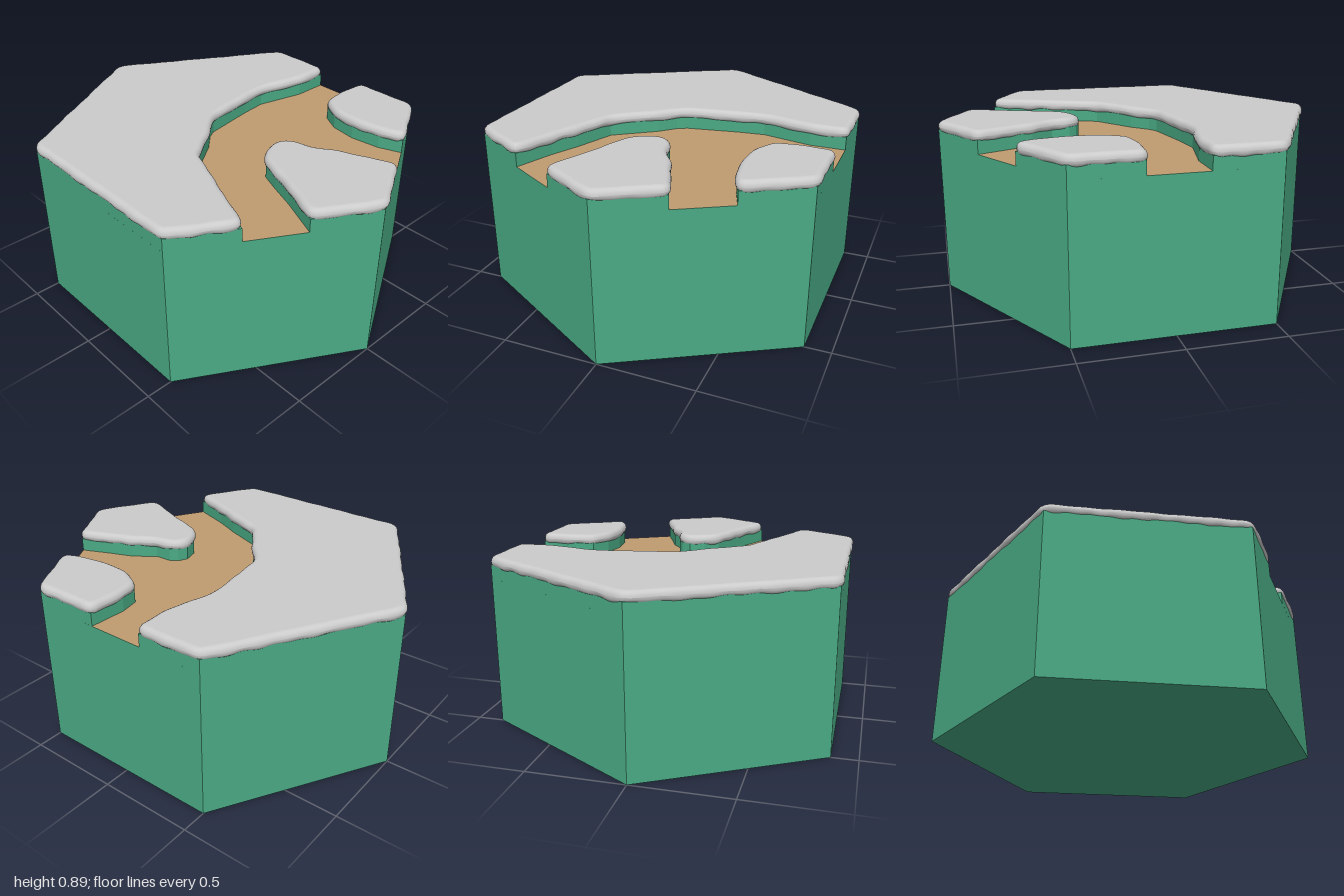
import * as THREE from 'three';
import { mergeVertices } from 'three/addons/utils/BufferGeometryUtils.js';

const PATH_Y = 0.78, BANK_Y = 0.85, SNOW_Y = 0.835, SNOW_H = 0.06;

// Ground outlines as [x, z]: tile corners plus the edge along the path
const BANKS = {
  back: [[0, -1], [0.866, -0.5], [0.866, -0.15], [0.68, -0.15], [0.42, -0.21], [0.28, -0.195],
    [0, -0.148], [-0.05, -0.12], [-0.13, -0.04], [-0.34, 0.11], [-0.42, 0.32], [-0.49, 0.47],
    [-0.565, 0.674], [-0.866, 0.5], [-0.866, -0.5]],
  right: [[0.866, 0.5], [0.866, 0.15], [0.67, 0.14], [0.57, 0.16], [0.515, 0.26], [0.495, 0.4],
    [0.515, 0.56], [0.56, 0.677]],
  front: [[0, 1], [0.3, 0.827], [0.235, 0.67], [0.19, 0.55], [0.11, 0.44], [0.106, 0.35],
    [0.08, 0.31], [0.03, 0.288], [-0.05, 0.31], [-0.12, 0.37], [-0.16, 0.47], [-0.21, 0.61],
    [-0.302, 0.826]],
};

const toPoints = (list) => {
  const pts = list.map(([x, z]) => new THREE.Vector2(x, -z));
  return THREE.ShapeUtils.area(pts) < 0 ? pts.reverse() : pts;
};

// Resample, round and slightly swell an outline so that it looks like settled snow
function snowOutline(list) {
  const corners = toPoints(list);
  let pts = [];
  corners.forEach((a, i) => {
    const b = corners[(i + 1) % corners.length];
    const n = Math.max(1, Math.round(a.distanceTo(b) / 0.022));
    for (let k = 0; k < n; k++) pts.push(a.clone().lerp(b, k / n));
  });
  const at = (arr, i) => arr[(i + arr.length) % arr.length];
  for (let pass = 0; pass < 3; pass++) {
    pts = pts.map((p, i) => at(pts, i - 1).clone().add(at(pts, i + 1)).multiplyScalar(0.25).addScaledVector(p, 0.5));
  }
  return pts.map((p, i) => {
    const t = at(pts, i + 1).clone().sub(at(pts, i - 1)).normalize();
    const swell = 0.009 + 0.0015 * Math.sin(i * 0.9) + 0.0015 * Math.sin(i * 0.37 + 1);
    return new THREE.Vector2(p.x + t.y * swell, p.y - t.x * swell);
  });
}

function extrudeUp(points, options, y) {
  const g = new THREE.ExtrudeGeometry(new THREE.Shape(points), options);
  g.rotateX(-Math.PI / 2);
  g.translate(0, y, 0);
  return g;
}

function snowGeometry(list) {
  const r = SNOW_H / 2;
  let g = extrudeUp(snowOutline(list), {
    depth: 0.002, bevelEnabled: true, bevelThickness: r - 0.001, bevelSize: r - 0.002,
    bevelOffset: -(r - 0.002), bevelSegments: 5,
  }, SNOW_Y + r - 0.001);
  g.deleteAttribute('uv');
  g.deleteAttribute('normal');
  g = mergeVertices(g, 1e-4);
  // Uneven underside, softly dripping rim
  const p = g.attributes.position;
  for (let i = 0; i < p.count; i++) {
    const x = p.getX(i), z = p.getZ(i), y = p.getY(i);
    if (y < SNOW_Y + r) p.setY(i, y + 0.004 * Math.sin(x * 31 + z * 23) * Math.sin(z * 37 - x * 11));
  }
  g.computeVertexNormals();
  return g;
}

export function createModel() {
  const model = new THREE.Group();
  const green = new THREE.MeshStandardMaterial({ color: 0x4aab85, flatShading: true });
  const earth = new THREE.MeshStandardMaterial({ color: 0xbf9b70 });
  const snow = new THREE.MeshStandardMaterial({ color: 0xcccccc });
  const add = (name, geometry, material) => {
    const mesh = new THREE.Mesh(geometry, material);
    mesh.name = name;
    model.add(mesh);
    return mesh;
  };

  // Six-sided block with a point to the front and back
  add('tileBase', new THREE.CylinderGeometry(1, 1, PATH_Y, 6), green).position.y = PATH_Y / 2;

  // Forked path surface lying between the banks
  const path = add('path', new THREE.CircleGeometry(1, 6, Math.PI / 2), earth);
  path.rotation.x = -Math.PI / 2;
  path.position.y = PATH_Y + 0.001;

  // Raised banks, each with its cap of snow
  for (const [name, outline] of Object.entries(BANKS)) {
    add(`${name}Bank`, extrudeUp(toPoints(outline), { depth: BANK_Y - PATH_Y, bevelEnabled: false }, PATH_Y), green);
    add(`${name}Snow`, snowGeometry(outline), snow);
  }
  return model;
}
